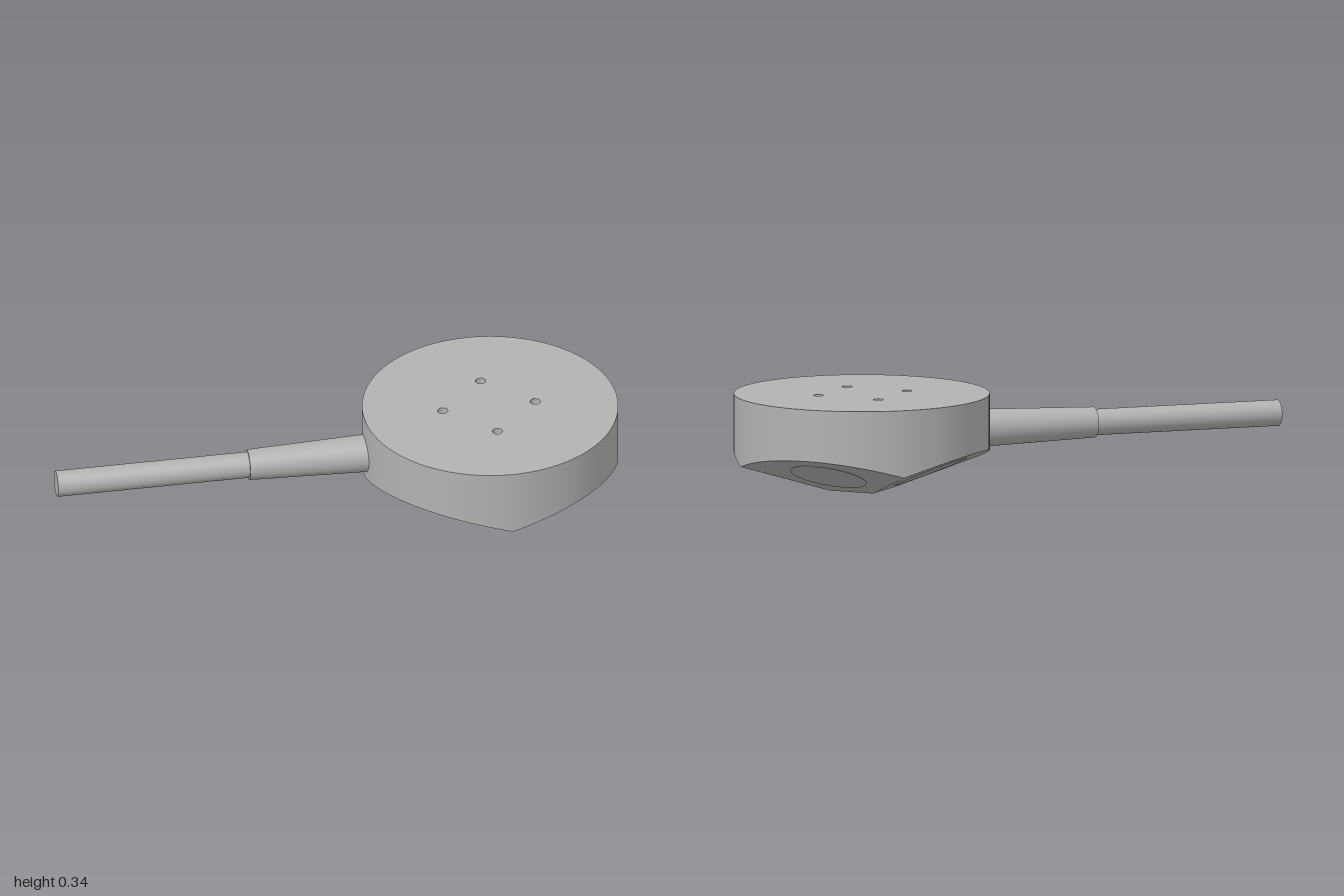
import * as THREE from 'three';

const HEAD_X = 0.55, RADIUS = 0.45, TOP = 0.34, FLAT = 0.12;
const SLOPE = 0.1 / (RADIUS - FLAT);
const AXIS_Y = 0.195;
const SEGMENTS = 96;

// Height of the faceted underside: a flat diamond with four sloping faces around it
const undersideY = (x, z) => Math.max(0, SLOPE * (Math.abs(x) + Math.abs(z) - FLAT));

export function createModel() {
  const model = new THREE.Group();
  const grey = new THREE.MeshStandardMaterial({ color: 0xb2b2b2 });
  grey.name = 'plain grey';

  const add = (parent, name, geometry, x = 0, y = 0, z = 0) => {
    const mesh = new THREE.Mesh(geometry, grey);
    mesh.name = name;
    mesh.position.set(x, y, z);
    parent.add(mesh);
    return mesh;
  };

  const head = new THREE.Group();
  head.name = 'head';
  head.position.x = HEAD_X;
  model.add(head);

  // Round wall whose lower edge follows the sloping faces
  const wall = new THREE.CylinderGeometry(RADIUS, RADIUS, 2, SEGMENTS, 1, true);
  const wp = wall.attributes.position;
  for (let i = 0; i < wp.count; i++) {
    wp.setY(i, wp.getY(i) > 0 ? TOP : undersideY(wp.getX(i), wp.getZ(i)));
  }
  add(head, 'headWall', wall);

  // Top plate with four drilled mounting holes
  const holeR = 0.018, holeRing = 0.165;
  const holes = [0, 1, 2, 3].map((i) => {
    const a = (i * Math.PI) / 2;
    return [holeRing * Math.cos(a) - 0.004, holeRing * Math.sin(a)];
  });
  const plate = new THREE.Shape().absarc(0, 0, RADIUS, 0, Math.PI * 2, false);
  for (const [x, z] of holes) {
    plate.holes.push(new THREE.Path().absarc(x, -z, holeR, 0, Math.PI * 2, true));
  }
  add(head, 'topPlate', new THREE.ShapeGeometry(plate, SEGMENTS / 2).rotateX(-Math.PI / 2), 0, TOP, 0);

  const holeProfile = [[holeR, 0], [holeR, -0.06], [0, -0.07]].map(([r, y]) => new THREE.Vector2(r, y));
  for (const [x, z] of holes) {
    add(head, 'mountingHole', new THREE.LatheGeometry(holeProfile, 24), x, TOP, z);
  }

  // Flat diamond at the very bottom
  const diamond = new THREE.CircleGeometry(FLAT, 4).rotateX(Math.PI / 2);
  add(head, 'bottomFlat', diamond);

  // Four sloping faces, each with a thin round sensor disc
  for (let q = 0; q < 4; q++) {
    const start = (q * Math.PI) / 2;
    const outline = [];
    for (let i = 0; i <= SEGMENTS / 4; i++) {
      const a = start + (i * Math.PI * 2) / SEGMENTS;
      outline.push(new THREE.Vector2(RADIUS * Math.cos(a), RADIUS * Math.sin(a)));
    }
    for (const a of [start + Math.PI / 2, start]) {
      outline.push(new THREE.Vector2(FLAT * Math.cos(a), FLAT * Math.sin(a)));
    }
    const face = new THREE.ShapeGeometry(new THREE.Shape(outline)).rotateX(Math.PI / 2);
    const fp = face.attributes.position;
    for (let i = 0; i < fp.count; i++) fp.setY(i, undersideY(fp.getX(i), fp.getZ(i)));
    face.computeVertexNormals();
    add(head, 'slopingFace', face);

    const mid = start + Math.PI / 4;
    const sx = Math.sign(Math.cos(mid)), sz = Math.sign(Math.sin(mid));
    const c = 0.19;
    const disc = add(head, 'sensorDisc', new THREE.CylinderGeometry(0.136, 0.136, 0.003, 48),
      sx * c, undersideY(c, c), sz * c);
    const normal = new THREE.Vector3(sx * SLOPE, -1, sz * SLOPE).normalize();
    disc.quaternion.setFromUnitVectors(new THREE.Vector3(0, 1, 0), normal);
  }

  // Cable and its tapered sleeve, lying along x
  const rod = (name, x0, r0, x1, r1) => {
    const geometry = new THREE.CylinderGeometry(r1, r0, x1 - x0, 48).rotateZ(-Math.PI / 2);
    add(model, name, geometry, (x0 + x1) / 2, AXIS_Y, 0);
  };
  rod('cable', -1, 0.046, -0.3, 0.046);
  rod('cableSleeve', -0.315, 0.054, 0.12, 0.067);

  return model;
}
